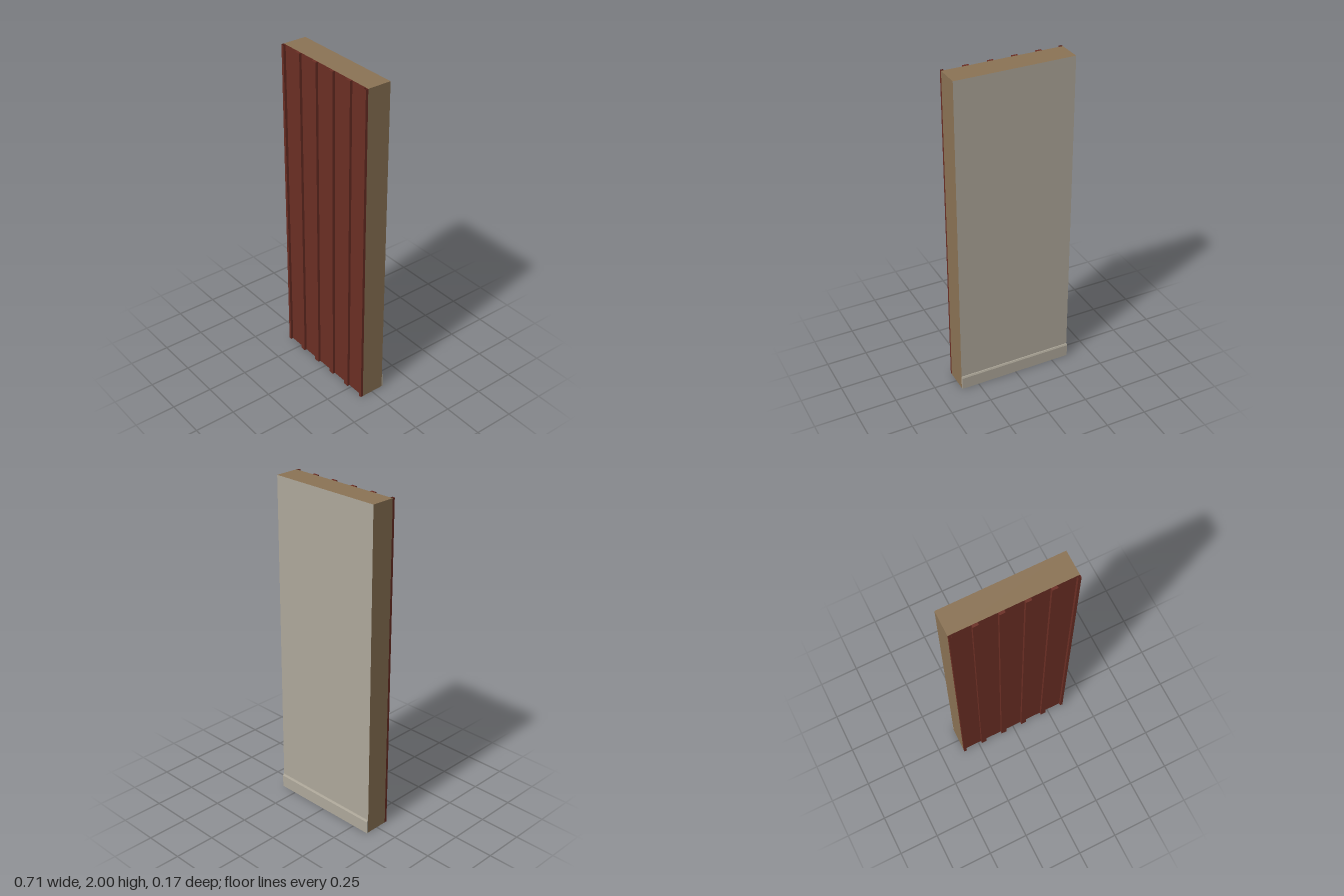
import * as THREE from 'three';

const W = 0.714, H = 2, FRONT = 0.069, BACK = -0.0755, OUT = 0.0845;

function material(name, color, side = THREE.FrontSide) {
  const m = new THREE.MeshStandardMaterial({ color, side });
  m.name = name;
  return m;
}

export function createModel() {
  const red = material('barn red', 0x6b2e24, THREE.DoubleSide);
  const tan = material('tan timber', 0x8b7355, THREE.DoubleSide);
  const grey = material('warm grey', 0xaea89a, THREE.DoubleSide);
  const group = new THREE.Group();
  group.name = 'wallPanel';

  function add(name, geometry, mat, x, y, z, rx = 0, ry = 0) {
    const mesh = new THREE.Mesh(geometry, mat);
    mesh.name = name;
    mesh.position.set(x, y, z);
    mesh.rotation.set(rx, ry, 0);
    group.add(mesh);
  }

  const depth = FRONT - BACK, midZ = (FRONT + BACK) / 2, Q = Math.PI / 2;

  // Hollow wall shell, open underneath
  add('frontSheet', new THREE.PlaneGeometry(W, H), red, 0, H / 2, FRONT);
  add('backSheet', new THREE.PlaneGeometry(W, H), grey, 0, H / 2, BACK, 0, Math.PI);
  add('topCap', new THREE.PlaneGeometry(W, depth), tan, 0, H, midZ, -Q);
  for (const s of [-1, 1]) {
    add(s > 0 ? 'leftEdge' : 'rightEdge', new THREE.PlaneGeometry(depth, H), tan, s * W / 2, H / 2, midZ, 0, s * Q);
  }

  // Vertical battens
  const pitch = W / 5, bw = 0.034, bd = OUT - FRONT;
  for (let i = 1; i < 5; i++) {
    add('batten' + i, new THREE.BoxGeometry(bw, H, bd), red, -W / 2 + i * pitch, H / 2, FRONT + bd / 2);
  }

  // Half battens at the joints, open at the ends
  for (const s of [-1, 1]) {
    const side = s > 0 ? 'left' : 'right';
    const hw = bw / 2;
    add(side + 'HalfBattenFace', new THREE.PlaneGeometry(hw, H), red, s * (W - hw) / 2, H / 2, OUT);
    add(side + 'HalfBattenInner', new THREE.PlaneGeometry(bd, H), red, s * (W / 2 - hw), H / 2, FRONT + bd / 2, 0, -s * Q);
    add(side + 'HalfBattenOuter', new THREE.PlaneGeometry(bd, H), red, s * W / 2, H / 2, FRONT + bd / 2, 0, s * Q);
  }

  // Skirting board with a chamfered top, extruded along x
  const profile = new THREE.Shape([
    new THREE.Vector2(-BACK, 0),
    new THREE.Vector2(0.0855, 0),
    new THREE.Vector2(0.0855, 0.076),
    new THREE.Vector2(0.081, 0.086),
    new THREE.Vector2(-BACK, 0.086),
  ]);
  const skirting = new THREE.ExtrudeGeometry(profile, { depth: W, bevelEnabled: false });
  skirting.translate(0, 0, -W / 2);
  add('skirting', skirting, grey, 0, 0, 0, 0, Q);

  return group;
}
